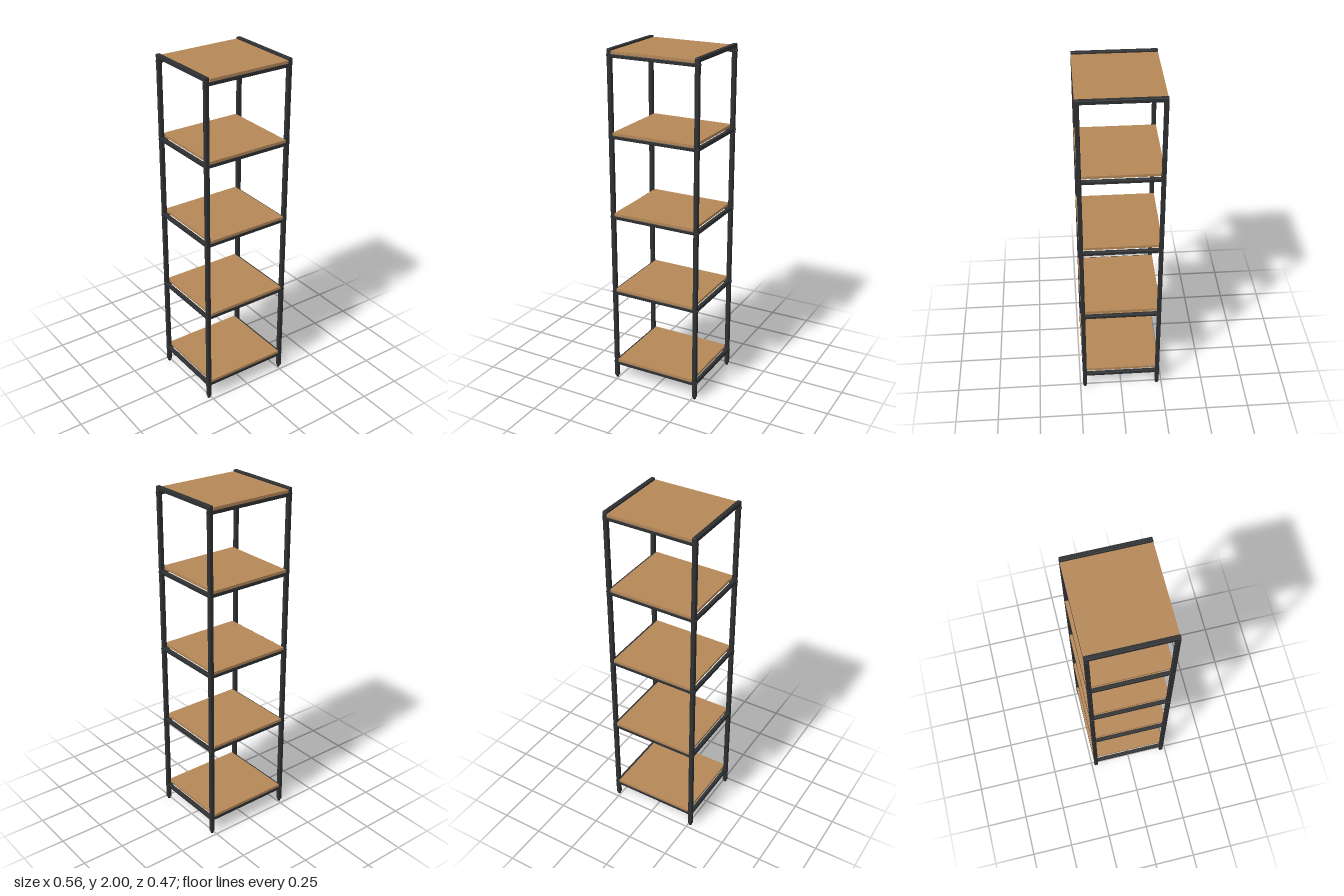
import * as THREE from 'three';
import { RoundedBoxGeometry } from 'three/addons/geometries/RoundedBoxGeometry.js';

export function createModel() {
  const model = new THREE.Group();
  model.name = 'shelfTower';

  const steel = new THREE.MeshStandardMaterial({ color: 0x2f3032 });
  steel.name = 'dark steel';
  const wood = new THREE.MeshStandardMaterial({ color: 0xb58858 });
  wood.name = 'oak board';
  const rubber = new THREE.MeshStandardMaterial({ color: 0x1c1c1d });
  rubber.name = 'black rubber';

  const X = 0.2625, Z = 0.2215; // tube centre lines
  const TX = 0.025, TZ = 0.024; // tube thickness

  function add(name, geometry, material, x, y, z) {
    const mesh = new THREE.Mesh(geometry, material);
    mesh.name = name;
    mesh.position.set(x, y, z);
    model.add(mesh);
    return mesh;
  }
  const tube = (w, h, d) => new RoundedBoxGeometry(w, h, d, 2, 0.004);

  // Side frames: two uprights joined by a top rail, with feet
  const upright = tube(TX, 1.985, TZ);
  const topRail = tube(TX, 0.023, 2 * Z + TZ);
  const foot = new THREE.CylinderGeometry(0.01, 0.008, 0.012, 16);
  for (const sx of [-1, 1]) {
    for (const sz of [-1, 1]) {
      add('upright', upright, steel, sx * X, 1.0055, sz * Z);
      add('foot', foot, rubber, sx * X, 0.006, sz * Z);
    }
    add('topRail', topRail, steel, sx * X, 1.9885, 0);
  }

  // Shelves: board on front and back rails, side rails between uprights
  const board = new THREE.BoxGeometry(0.497, 0.016, 0.465);
  const crossRail = tube(0.505, 0.021, TZ);
  const sideRail = tube(0.021, 0.022, 2 * Z - TZ + 0.008);
  const bolt = new THREE.CylinderGeometry(0.008, 0.009, 0.005, 16).rotateZ(-Math.PI / 2);
  const shelfTops = [0.128, 0.599, 1.071, 1.543, 1.99];
  shelfTops.forEach((top, i) => {
    const railY = top - 0.0265;
    add('shelfBoard', board, wood, 0, top - 0.008, 0);
    for (const s of [-1, 1]) {
      add('crossRail', crossRail, steel, 0, railY, s * Z);
      if (i < 4) add('sideRail', sideRail, steel, s * X, railY, 0);
      for (const sz of [-1, 1]) {
        const head = add('boltHead', bolt, steel, s * (X + TX / 2 + 0.001), railY, sz * Z);
        if (s < 0) head.rotation.y = Math.PI;
      }
    }
  });

  return model;
}
